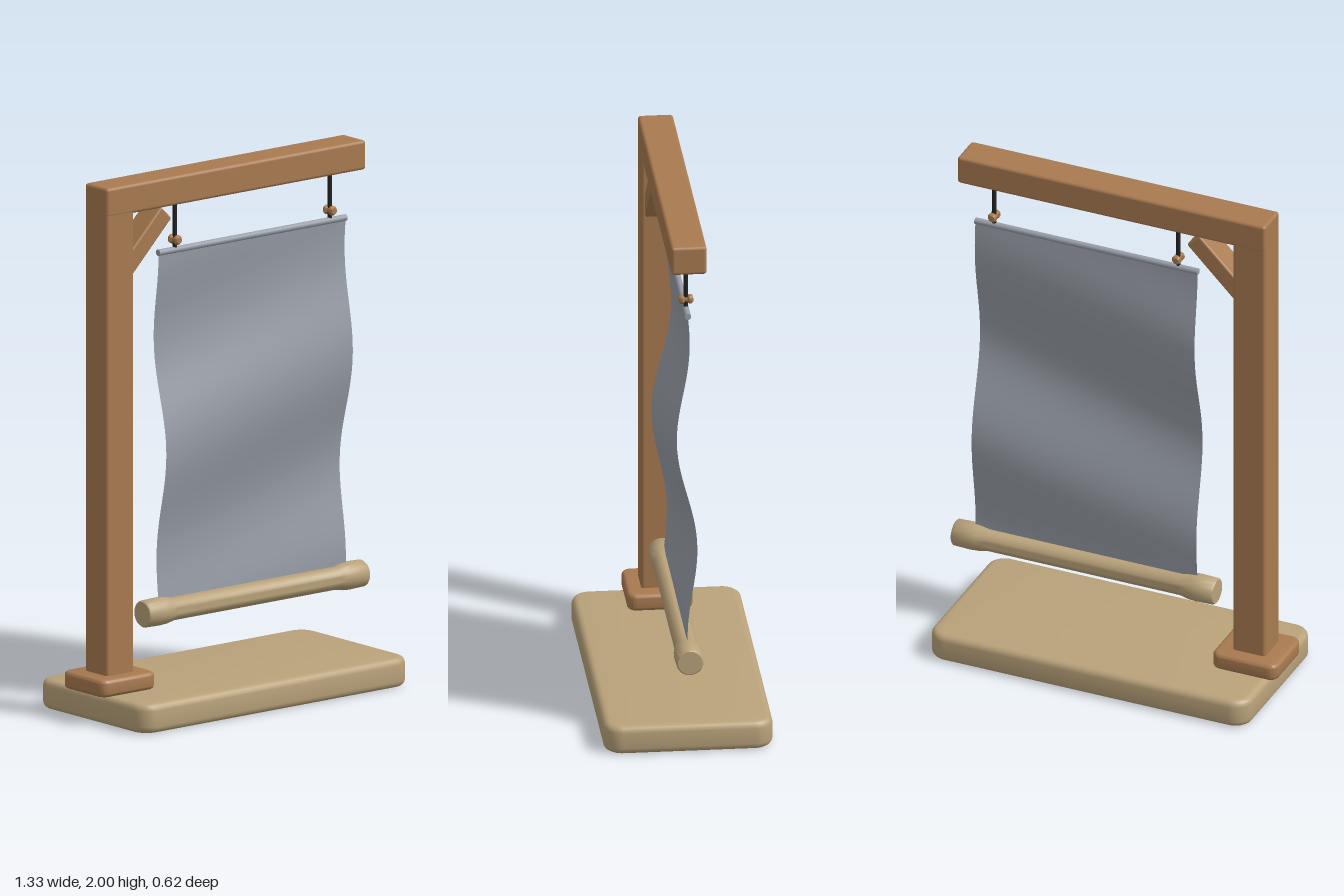
import * as THREE from 'three';
import { toCreasedNormals } from 'three/addons/utils/BufferGeometryUtils.js';
import { RoundedBoxGeometry } from 'three/addons/geometries/RoundedBoxGeometry.js';

const material = (name, color, extra = {}) =>
  Object.assign(new THREE.MeshStandardMaterial({ color, ...extra }), { name });

// Slab lying in xz with rounded plan corners and softened edges
function slab(w, h, d, corner, bevel) {
  const x = w / 2 - bevel, y = d / 2 - bevel, r = corner - bevel;
  const s = new THREE.Shape();
  s.absarc(x - r, y - r, r, 0, Math.PI / 2);
  s.absarc(-x + r, y - r, r, Math.PI / 2, Math.PI);
  s.absarc(-x + r, -y + r, r, Math.PI, Math.PI * 1.5);
  s.absarc(x - r, -y + r, r, Math.PI * 1.5, Math.PI * 2);
  s.closePath();
  const g = new THREE.ExtrudeGeometry(s, {
    depth: h - 2 * bevel, bevelThickness: bevel, bevelSize: bevel, bevelSegments: 4, curveSegments: 5,
  });
  g.translate(0, 0, -(h / 2 - bevel));
  g.rotateX(-Math.PI / 2);
  return toCreasedNormals(g, 0.7);
}

// Lathe from [radius, height] pairs with crisp end caps
const turned = (points, sides) => toCreasedNormals(
  new THREE.LatheGeometry(points.map(([r, y]) => new THREE.Vector2(r, y)), sides), 0.7);

// Hanging cloth: a wave that drifts across the width and dies out at both ends
function clothGeometry(x0, x1, top, bottom) {
  const g = new THREE.PlaneGeometry(1, 1, 20, 40);
  const p = g.attributes.position;
  for (let i = 0; i < p.count; i++) {
    const u = p.getX(i) + 0.5, s = 0.5 - p.getY(i);
    const crest = 0.58 - 0.23 * u;
    const z = 0.045 * Math.sin(Math.PI * s) * Math.cos((2 * Math.PI * (s - crest)) / 0.78);
    p.setXYZ(i, x0 + (x1 - x0) * u, top + (bottom - top) * s, z);
  }
  g.computeVertexNormals();
  return g;
}

export function createModel() {
  const group = new THREE.Group();
  group.name = 'hangingBanner';
  const wood = material('brown wood', 0xa87a50);
  const pale = material('pale wood', 0xb9a27a);
  const cloth = material('grey cloth', 0x989ea7, { side: THREE.DoubleSide });
  const cord = material('dark cord', 0x24221f);

  const add = (name, geometry, mat, x = 0, y = 0, z = 0) => {
    const m = new THREE.Mesh(geometry, mat);
    m.name = name;
    m.position.set(x, y, z);
    group.add(m);
    return m;
  };

  // Base and frame
  add('base', slab(1.275, 0.11, 0.62, 0.07, 0.025), pale, 0.008, 0.055);
  add('postFoot', slab(0.26, 0.065, 0.24, 0.035, 0.015), wood, -0.536, 0.143);
  add('post', new RoundedBoxGeometry(0.13, 1.82, 0.128, 2, 0.012), wood, -0.535, 1.07);
  add('beam', new RoundedBoxGeometry(1.23, 0.11, 0.13, 2, 0.012), wood, 0.015, 1.945);
  const brace = add('brace', new RoundedBoxGeometry(0.3, 0.07, 0.1, 2, 0.008), wood, -0.41, 1.76);
  brace.rotation.z = Math.PI / 4;

  // Cords with turned toggles
  const toggle = turned([[0, -0.027], [0.012, -0.026], [0.018, -0.018], [0.018, -0.012], [0.011, -0.004],
    [0.011, 0.004], [0.018, 0.012], [0.018, 0.018], [0.012, 0.026], [0, 0.027]], 16);
  for (const [side, x] of [['right', -0.225], ['left', 0.51]]) {
    add(side + 'Cord', new THREE.CylinderGeometry(0.008, 0.008, 0.19, 10), cord, x, 1.8);
    add(side + 'Toggle', toggle, wood, x, 1.745).rotation.x = Math.PI / 2;
  }

  // Cloth between its top rod and the weighted roller
  const topRod = add('topRod', new THREE.CylinderGeometry(0.012, 0.012, 0.89, 14), cloth, 0.14, 1.706);
  topRod.rotation.z = Math.PI / 2;
  add('cloth', clothGeometry(-0.302, 0.585, 1.703, 0.39), cloth);

  const half = [[0, 0.522], [0.045, 0.522], [0.05, 0.516], [0.052, 0.45], [0.05, 0.42], [0.043, 0.385]];
  const profile = [...half.map(([r, y]) => [r, -y]), ...half.slice().reverse()];
  add('roller', turned(profile, 28), pale, 0.142, 0.364).rotation.z = Math.PI / 2;

  return group;
}
